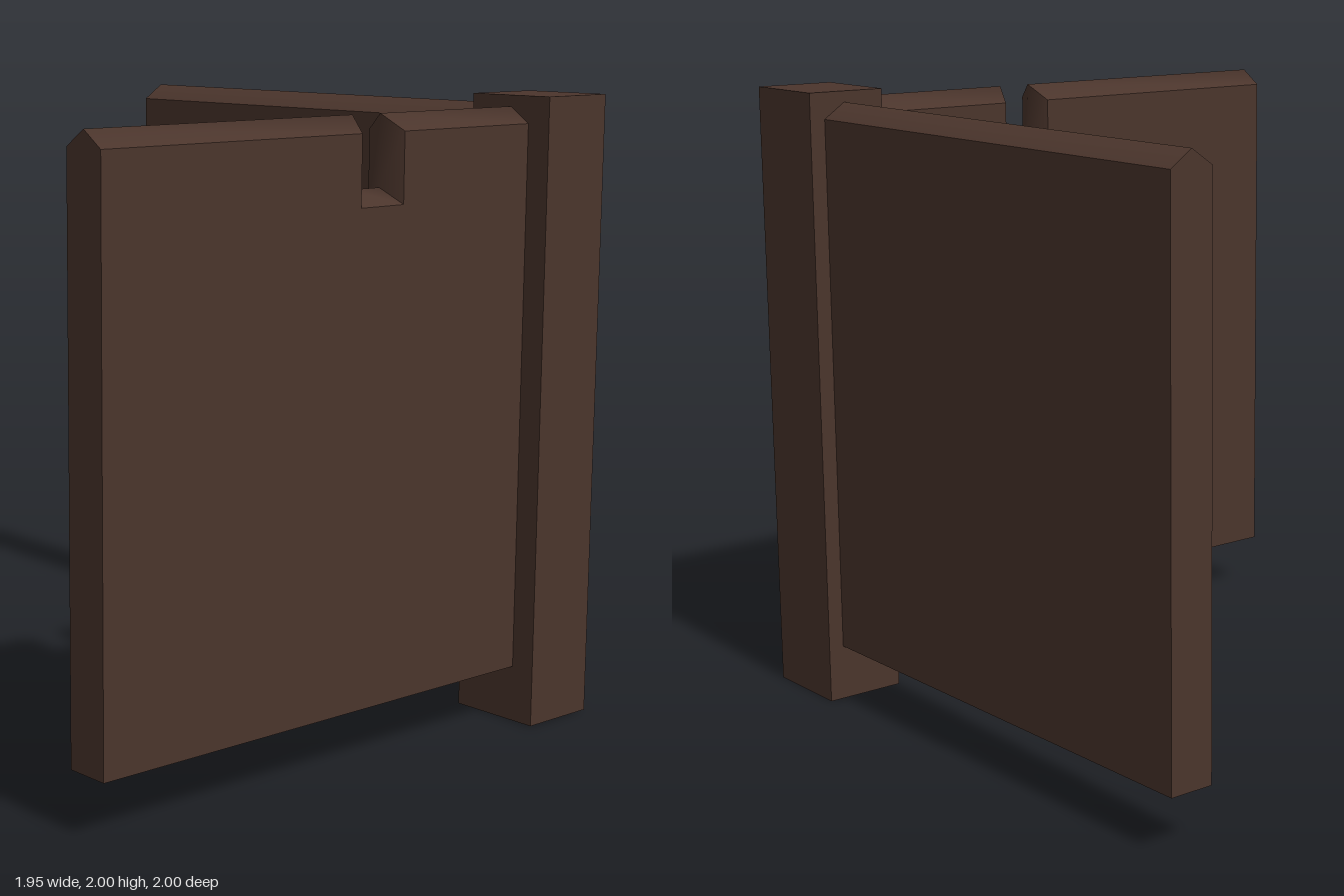
import * as THREE from 'three';
import { mergeGeometries } from 'three/addons/utils/BufferGeometryUtils.js';

const HALF = 0.073; // half the panel thickness

// Flat panel whose edges rise to a middle ridge.
// Each point is [x, y, ridgeX, ridgeY], counter-clockwise seen from +z.
function panelGeometry(points) {
  const outline = new THREE.Shape(points.map(([x, y]) => new THREE.Vector2(x, y)));
  const front = new THREE.ShapeGeometry(outline);
  front.deleteAttribute('uv');
  const back = front.clone().rotateY(Math.PI).scale(1, 1, 1);
  // turn the back face around, then restore its left-right order
  const pos = back.attributes.position;
  for (let i = 0; i < pos.count; i++) pos.setX(i, -pos.getX(i));
  const order = Array.from(back.index.array);
  for (let i = 0; i < order.length; i += 3) [order[i], order[i + 1]] = [order[i + 1], order[i]];
  back.setIndex(order);
  front.translate(0, 0, HALF);
  back.translate(0, 0, -HALF);

  // edge strips, smooth across the ridge
  const strips = points.map(([ax, ay, arx, ary], i) => {
    const [bx, by, brx, bry] = points[(i + 1) % points.length];
    const strip = new THREE.BufferGeometry();
    strip.setAttribute('position', new THREE.Float32BufferAttribute([
      ax, ay, HALF, arx, ary, 0, ax, ay, -HALF,
      bx, by, HALF, brx, bry, 0, bx, by, -HALF,
    ], 3));
    strip.setIndex([0, 1, 4, 0, 4, 3, 1, 2, 5, 1, 5, 4]);
    strip.computeVertexNormals();
    return strip;
  });
  return mergeGeometries([front, back, ...strips]);
}

export function createModel() {
  const group = new THREE.Group();
  const wood = new THREE.MeshStandardMaterial({ color: 0x4b352c });
  wood.name = 'dark brown wood';

  const add = (name, geometry, x, y, z) => {
    const mesh = new THREE.Mesh(geometry, wood);
    mesh.name = name;
    mesh.position.set(x, y, z);
    group.add(mesh);
    return mesh;
  };

  // corner post
  add('cornerPost', new THREE.BoxGeometry(0.265, 2, 0.31), 0.8425, 1, 0.845);

  const bottom = 0.18, edge = 1.915, ridge = 1.965;

  // front panel with a notch in its top edge
  add('frontPanel', panelGeometry([
    [-0.975, bottom, -0.975, bottom],
    [0.71, bottom, 0.71, bottom],
    [0.71, edge, 0.71, ridge],
    [0.165, edge, 0.135, ridge],
    [0.165, 1.7, 0.135, 1.747],
    [-0.01, 1.7, 0.02, 1.747],
    [-0.01, edge, 0.02, ridge],
    [-0.975, edge, -0.975, ridge],
  ]), 0, 0, 0.845);

  // plain side panel running back from the post
  const side = add('sidePanel', panelGeometry([
    [-1, bottom, -1, bottom],
    [0.69, bottom, 0.69, bottom],
    [0.69, edge, 0.69, ridge],
    [-1, edge, -1, ridge],
  ]), 0.85, 0, 0);
  side.rotation.y = -Math.PI / 2;

  return group;
}
